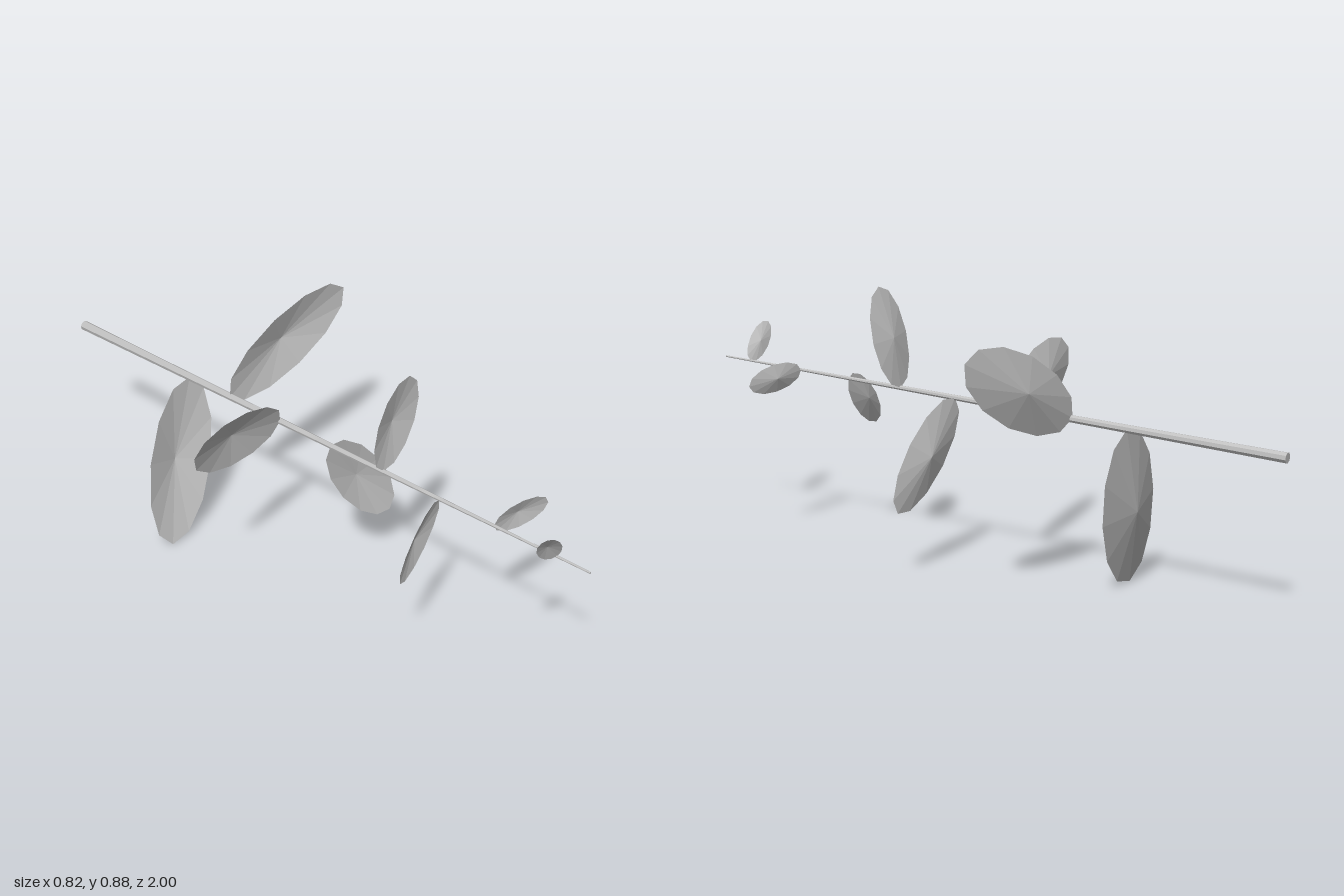
import * as THREE from 'three';

const grey = new THREE.MeshStandardMaterial({ color: 0xc0c0c0, flatShading: true, side: THREE.DoubleSide });
grey.name = 'plain grey';

const stemBack = new THREE.Vector3(-0.18, 0.52, -1);
const stemFront = new THREE.Vector3(0.22, 0.575, 1);

// Tapered twig between two points
function makeStem() {
  const along = stemFront.clone().sub(stemBack);
  const stem = new THREE.Mesh(new THREE.CylinderGeometry(0.003, 0.016, along.length(), 8), grey);
  stem.quaternion.setFromUnitVectors(new THREE.Vector3(0, 1, 0), along.normalize());
  stem.position.copy(stemBack).add(stemFront).multiplyScalar(0.5);
  stem.name = 'stem';
  return stem;
}

// Twelve-sided oval, its middle pushed backwards into a shallow cup
function makeLeaf(centre, halfLength, halfWidth) {
  const a = new THREE.Vector3(...halfLength);
  const b = new THREE.Vector3(...halfWidth);
  const n = a.clone().cross(b).normalize();
  if (n.z > 0) {
    n.negate();
    b.negate();
  }
  n.multiplyScalar(a.length() * 0.125);
  const geometry = new THREE.CircleGeometry(1, 12);
  geometry.attributes.position.setZ(0, 1);
  geometry.applyMatrix4(new THREE.Matrix4().makeBasis(a, b, n).setPosition(...centre));
  geometry.computeVertexNormals();
  return new THREE.Mesh(geometry, grey);
}

// Each leaf: centre, vector to the tip, vector to the side; from the thick end to the thin end
const leaves = [
  [[-0.165, 0.267, -0.45], [-0.085, -0.265, 0.06], [0.115, -0.037, 0]],
  [[0.18, 0.655, -0.334], [0.23, 0.115, -0.008], [-0.048, 0.097, 0]],
  [[-0.207, 0.6, -0.05], [-0.203, 0.055, 0.07], [0.027, 0.09, 0.007]],
  [[0.149, 0.385, 0.092], [0.111, -0.165, 0.011], [0.068, 0.046, 0]],
  [[0.11, 0.718, 0.297], [0.032, 0.162, 0.013], [0.068, -0.013, 0]],
  [[0.0175, 0.475, 0.528], [-0.1, -0.083, 0.037], [0.033, -0.048, -0.016]],
  [[0.266, 0.555, 0.677], [0.109, -0.011, -0.004], [0.0045, 0.045, 0]],
  [[0.149, 0.63, 0.908], [-0.052, 0.058, 0.017], [0.027, 0.02, 0.01]],
];

export function createModel() {
  const model = new THREE.Group();
  model.name = 'leafy twig';
  model.add(makeStem());
  leaves.forEach((spec, i) => {
    const leaf = makeLeaf(...spec);
    leaf.name = `leaf${i + 1}`;
    model.add(leaf);
  });
  return model;
}
